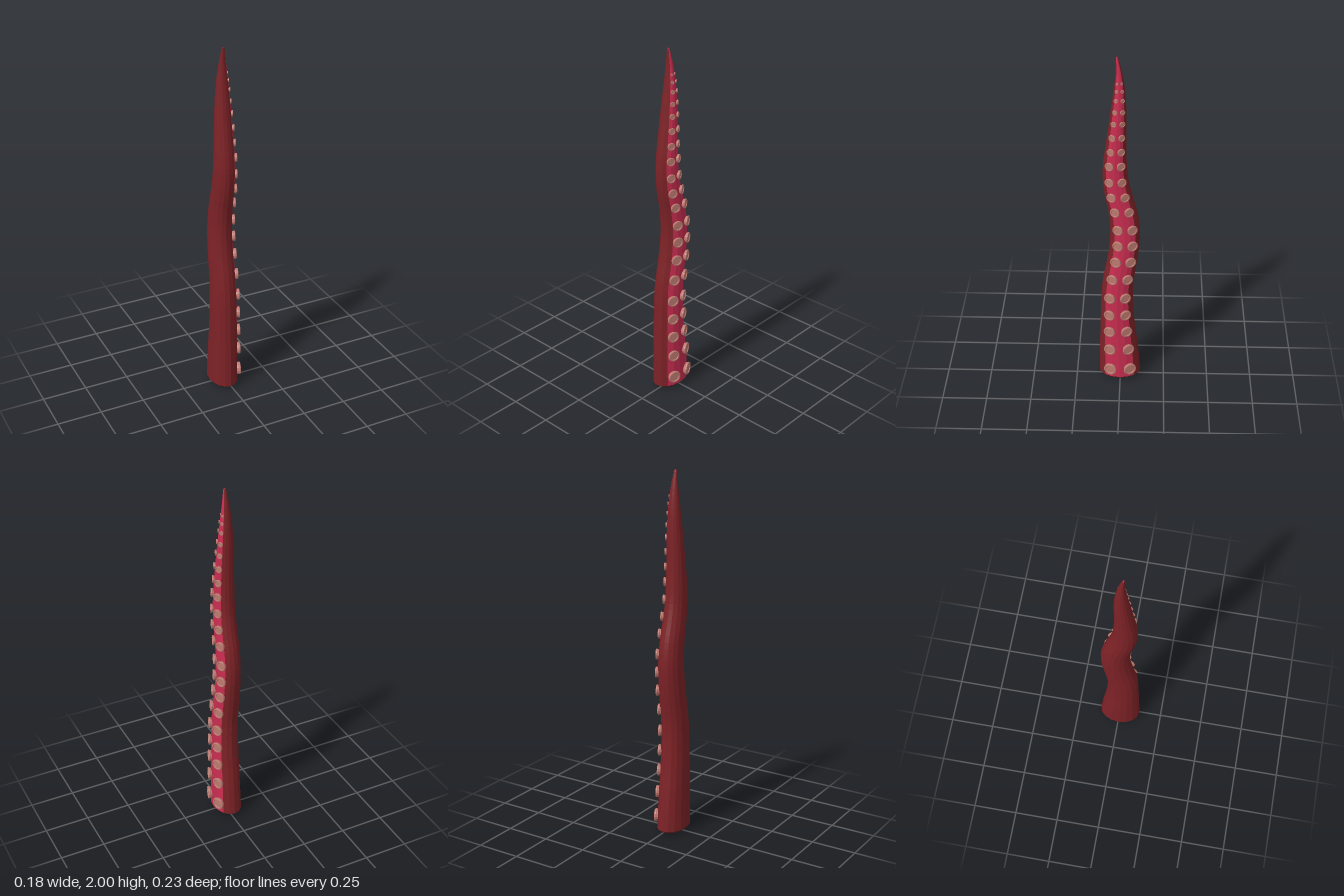
import * as THREE from 'three';

const SIDES = 16;
const CENTRE_X = -0.012;

// Body stations: height, front edge z, back edge z, half width in x
const STATIONS = [
  [0.02, 0.12, -0.115, 0.08], [0.2, 0.117, -0.1, 0.077], [0.4, 0.111, -0.077, 0.074],
  [0.6, 0.103, -0.07, 0.071], [0.7, 0.09, -0.08, 0.069], [0.8, 0.071, -0.093, 0.068],
  [0.9, 0.058, -0.103, 0.066], [1.0, 0.055, -0.104, 0.064], [1.1, 0.064, -0.09, 0.062],
  [1.2, 0.083, -0.064, 0.06], [1.3, 0.093, -0.042, 0.057], [1.4, 0.09, -0.033, 0.055],
  [1.5, 0.077, -0.03, 0.051], [1.6, 0.063, -0.03, 0.047], [1.7, 0.05, -0.03, 0.041],
  [1.8, 0.037, -0.025, 0.033], [1.9, 0.026, -0.011, 0.021], [1.985, 0.023, 0.009, 0.009],
];
const frontEdge = new THREE.CatmullRomCurve3(STATIONS.map(([y, f, , r]) => new THREE.Vector3(r, y, f)));
const backEdge = new THREE.CatmullRomCurve3(STATIONS.map(([y, , b, r]) => new THREE.Vector3(r, y, b)));

// Elliptical section at parameter t along the body
function section(t) {
  const f = frontEdge.getPoint(t), b = backEdge.getPoint(t);
  return { y: f.y, z: (f.z + b.z) / 2, rx: f.x, rz: (f.z - b.z) / 2 };
}

// Section at a given height, found by bisection
function sectionAt(y) {
  let lo = 0, hi = 1;
  for (let i = 0; i < 25; i++) {
    const mid = (lo + hi) / 2;
    if (section(mid).y < y) lo = mid; else hi = mid;
  }
  return section(lo);
}

function ringPoint(s, side) {
  const a = (side / SIDES) * Math.PI * 2;
  return [CENTRE_X + s.rx * Math.cos(a), s.y, s.z + s.rz * Math.sin(a)];
}

// Skin over a range of sides, lofted through all sections
function loft(sections, firstSide, lastSide) {
  const pos = [];
  for (let i = 0; i < sections.length - 1; i++) {
    for (let k = firstSide; k < lastSide; k++) {
      const a = ringPoint(sections[i], k), b = ringPoint(sections[i + 1], k);
      const c = ringPoint(sections[i + 1], k + 1), d = ringPoint(sections[i], k + 1);
      pos.push(...a, ...b, ...c, ...a, ...c, ...d);
    }
  }
  const geo = new THREE.BufferGeometry();
  geo.setAttribute('position', new THREE.Float32BufferAttribute(pos, 3));
  geo.computeVertexNormals();
  return geo;
}

export function createModel() {
  const model = new THREE.Group();
  model.name = 'tentacle';

  const skin = new THREE.MeshStandardMaterial({ name: 'dark red skin', color: 0x7d2226, flatShading: true });
  const under = new THREE.MeshStandardMaterial({ name: 'crimson underside', color: 0xc92d50, flatShading: true });
  const suckerMat = new THREE.MeshStandardMaterial({ name: 'salmon sucker', color: 0xbd7a70, flatShading: true });

  const add = (parent, name, geo, mat) => {
    const mesh = new THREE.Mesh(geo, mat);
    mesh.name = name;
    parent.add(mesh);
    return mesh;
  };

  // Body sections with a rounded tip
  const sections = [];
  for (let i = 0; i <= 51; i++) sections.push(section(i / 51));
  const tip = sections[sections.length - 1];
  sections.push({ ...tip, y: 1.996, z: 0.018, rx: 0.006, rz: 0.005 });
  sections.push({ ...tip, y: 2, z: 0.019, rx: 0, rz: 0 });

  // Shallow domed base
  const foot = sections[0];
  const base = [[0, 0], [0.5, 0.003], [0.88, 0.008], [1, 0.02]].map(([k, y]) =>
    ({ y, z: foot.z, rx: foot.rx * k, rz: foot.rz * k }));

  add(model, 'outerSkin', loft(sections, 2, 14), skin);
  add(model, 'underside', loft(sections, -2, 2), under);
  add(model, 'base', loft(base, 0, SIDES), skin);

  // Sucker: a short cup with a raised rim and a sunken floor, unit radius
  const cup = new THREE.LatheGeometry([
    [0.8, -0.3], [0.92, 0.1], [1, 0.2], [1, 0.42], [0.9, 0.48], [0.74, 0.48], [0.68, 0.36], [0, 0.36],
  ].map(([r, y]) => new THREE.Vector2(r, y)), 14);

  // Two rows of suckers, shrinking towards the tip: height, radius
  const suckers = [
    [0.08, 0.037], [0.22, 0.034], [0.345, 0.033], [0.46, 0.032], [0.575, 0.032],
    [0.7, 0.031], [0.815, 0.031], [0.92, 0.03], [1.02, 0.029], [1.13, 0.027],
    [1.22, 0.026], [1.31, 0.025], [1.405, 0.024], [1.487, 0.021], [1.568, 0.019],
    [1.645, 0.016], [1.71, 0.014], [1.772, 0.012], [1.822, 0.01], [1.862, 0.008],
  ];
  const up = new THREE.Vector3(0, 1, 0);
  for (const [name, angle] of [['frontSuckers', 0.44], ['backSuckers', -0.52]]) {
    const row = new THREE.Group();
    row.name = name;
    model.add(row);
    suckers.forEach(([y, radius], i) => {
      const s = sectionAt(y);
      const c = Math.cos(angle), n = Math.sin(angle);
      const mesh = add(row, `sucker${i + 1}`, cup, suckerMat);
      mesh.position.set(CENTRE_X + s.rx * c, y, s.z + s.rz * n);
      const normal = new THREE.Vector3(c / s.rx, 0, n / s.rz).normalize();
      mesh.quaternion.setFromUnitVectors(up, normal);
      mesh.scale.setScalar(radius);
    });
  }
  return model;
}
